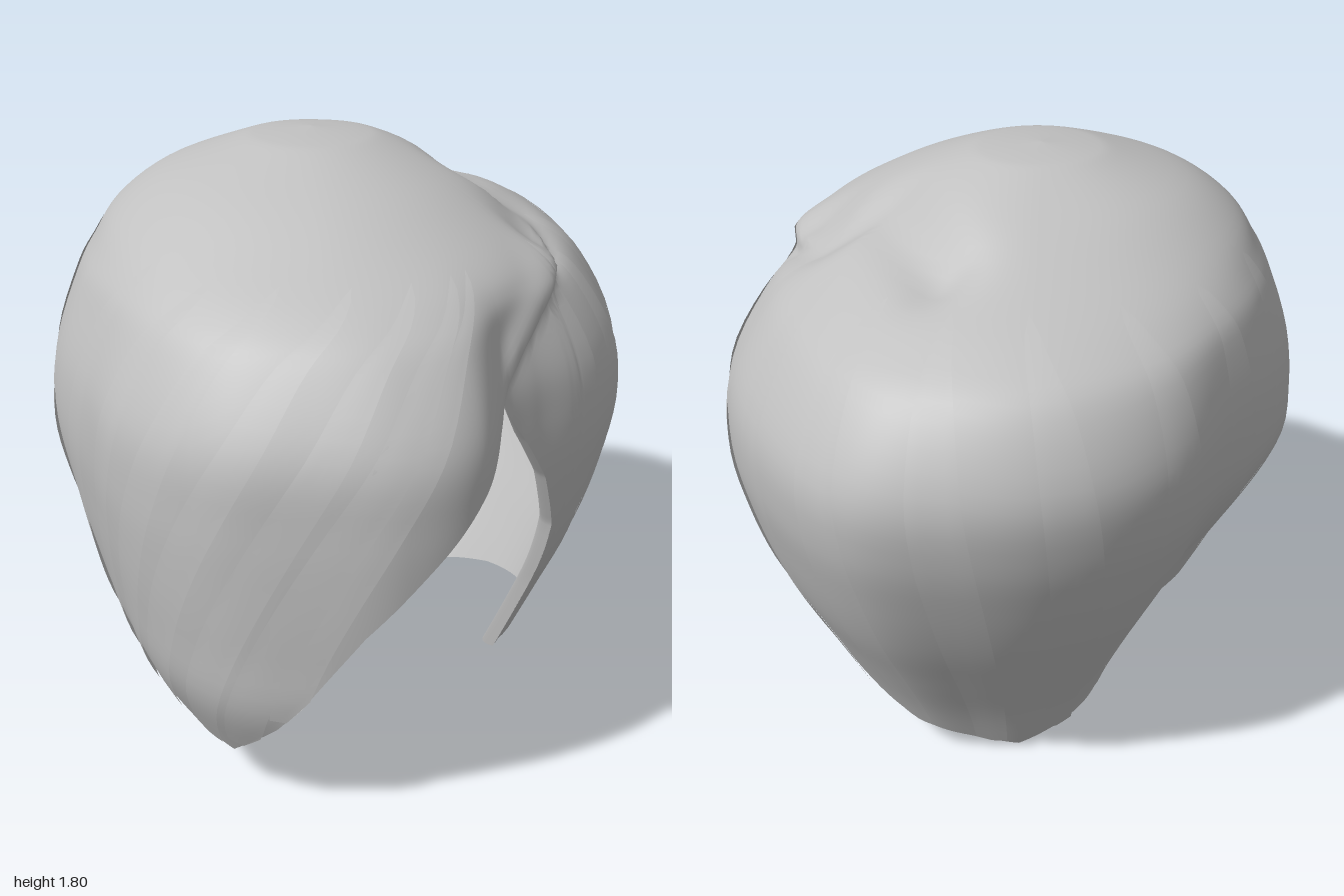
import * as THREE from 'three';

const RAD = Math.PI / 180;

// Smooth (Hermite) or straight interpolation through [x, y] knots
function sample(knots, x, smooth = true) {
  let i = 0;
  while (i < knots.length - 2 && x > knots[i + 1][0]) i++;
  const [x0, y0] = knots[i], [x1, y1] = knots[i + 1];
  const h = x1 - x0, t = Math.min(1, Math.max(0, (x - x0) / h));
  if (!smooth) return y0 + (y1 - y0) * t;
  const p = knots[Math.max(0, i - 1)], n = knots[Math.min(knots.length - 1, i + 2)];
  const m0 = (y1 - p[1]) / (x1 - p[0]) * h, m1 = (n[1] - y0) / (n[0] - x0) * h;
  const t2 = t * t, t3 = t2 * t;
  return (2 * t3 - 3 * t2 + 1) * y0 + (t3 - 2 * t2 + t) * m0 + (3 * t2 - 2 * t3) * y1 + (t3 - t2) * m1;
}
const indexed = (a) => a.map((v, i) => [i, v]);
const wrap = (a) => ((a % 360) + 360) % 360;
const step = (a, b, x) => THREE.MathUtils.smoothstep(x, a, b);

// Plan radius by angle (0 = front, 90 = the model's left)
const PLAN = [[-15, 0.99], [0, 0.99], [15, 1], [28, 0.95], [41, 0.77], [55, 0.74], [70, 0.79], [90, 0.85],
  [105, 0.88], [125, 0.93], [150, 1.03], [165, 1.01], [180, 0.99], [200, 0.93], [220, 0.83], [240, 0.83],
  [270, 0.865], [290, 0.87], [310, 0.87], [325, 0.93], [345, 0.99], [360, 0.99], [375, 1]];

// Height of the cut edge by angle, with the face opening from 342 to 70
const HEM = [[0, 0.48], [9, 0.7], [18.5, 0.88], [28, 1.05], [36, 1.17], [41, 1.22], [51, 1.05], [59, 0.9],
  [66, 0.7], [69, 0.45], [70.5, 0.19], [85, 0.24], [101, 0.26], [125, 0.2], [150, 0.11], [177, 0.01],
  [205, 0.15], [230, 0.26], [270, 0.3], [300, 0.3], [320, 0.28], [330, 0.22], [342, 0.16], [354, 0.35], [360, 0.48]];

// Vertical profiles: height, then radius factor on each of the four sides
const HEIGHT = indexed([0, 0.2, 0.4, 0.6, 0.8, 1, 1.2, 1.4, 1.5, 1.6, 1.7, 1.78, 1.8, 1.812]);
const FRONT = indexed([0.72, 0.84, 0.94, 0.97, 0.99, 1, 0.99, 0.88, 0.77, 0.59, 0.41, 0.23, 0.15, 0]);
const BACK = indexed([0.51, 0.6, 0.71, 0.82, 0.91, 0.98, 1, 0.91, 0.77, 0.55, 0.36, 0.19, 0.12, 0]);
const LEFT = indexed([0.56, 0.67, 0.78, 0.89, 0.96, 1, 0.975, 0.85, 0.74, 0.59, 0.43, 0.25, 0.17, 0]);
const RIGHT = indexed([0.5, 0.64, 0.77, 0.87, 0.95, 1, 0.98, 0.9, 0.84, 0.75, 0.56, 0.28, 0.16, 0]);
const TOP = 13;

// Parting ridge above the left panel, and the whorl grooves seen in plan (x, z)
const RIDGE = [[36, 1.16], [41, 1.25], [60, 1.41], [80, 1.51], [100, 1.57], [125, 1.58]];
const GROOVE = [[0.25, -0.46], [0.34, -0.26], [0.4, -0.1], [0.52, -0.1], [0.57, 0.08]];

function grooveDistance(x, z) {
  let best = 9;
  for (let i = 0; i < GROOVE.length - 1; i++) {
    const [ax, az] = GROOVE[i], dx = GROOVE[i + 1][0] - ax, dz = GROOVE[i + 1][1] - az;
    const t = Math.min(1, Math.max(0, ((x - ax) * dx + (z - az) * dz) / (dx * dx + dz * dz)));
    best = Math.min(best, Math.hypot(x - ax - dx * t, z - az - dz * t));
  }
  return best;
}

// Profile position (0..13) of a height
function levelAt(y) {
  let lo = 0, hi = TOP;
  for (let n = 0; n < 24; n++) {
    const mid = (lo + hi) / 2;
    if (sample(HEIGHT, mid) < y) lo = mid; else hi = mid;
  }
  return lo;
}
const hemLevel = (angle) => levelAt(sample(HEM, wrap(angle), false));

// Point on the hair at an angle and profile level, moved outward by offset
function hairPoint(angle, level, offset = 0) {
  const a = wrap(angle), s = Math.sin(a * RAD), c = Math.cos(a * RAD);
  let y = sample(HEIGHT, level);
  const f = sample(c > 0 ? FRONT : BACK, level) * c * c + sample(s > 0 ? LEFT : RIGHT, level) * s * s;
  // the outline rounds off towards the crown
  const plan = THREE.MathUtils.lerp(sample(PLAN, a), c * c + 0.87 * s * s, step(5.4, 9.2, level));
  let r = Math.max(0, f) * plan;
  // the nape is cut flatter on the right, the temple fuller
  const low = 1 - step(1, 5, level);
  r *= 1 - low * (0.26 * Math.exp(-(((a - 237) / 26) ** 2)) - 0.06 * Math.exp(-(((a - 303) / 18) ** 2)));
  // the left panel tucks in under the ridge
  const d = sample(RIDGE, a) - y;
  const side = step(36, 46, a) * (1 - step(85, 115, a));
  r += side * (0.02 * Math.exp(-((d + 0.04) ** 2) / 0.004) - 0.045 * step(-0.02, 0.06, d) * Math.exp(-Math.max(0, d) / 0.2));
  // pressed-in whorl
  const g = grooveDistance(r * s, r * c);
  y -= 0.045 * Math.exp(-g * g / 0.007) * step(1.3, 1.5, y);
  const up = step(6, 11, level), lean = step(8, 12, level);
  r += offset * (1 - up);
  return [r * s - 0.085 * lean, y + offset * up, r * c - 0.04 * lean];
}

// Grid surface from a point rule
function grid(cols, rows, closed, rule) {
  const pos = [], index = [], n = closed ? cols : cols + 1;
  for (let j = 0; j <= rows; j++)
    for (let i = 0; i < n; i++) pos.push(...rule(i / cols, j / rows));
  for (let j = 0; j < rows; j++)
    for (let i = 0; i < cols; i++) {
      const a = j * n + i, b = j * n + (i + 1) % n;
      index.push(a, b, b + n, a, b + n, a + n);
    }
  const g = new THREE.BufferGeometry();
  g.setAttribute('position', new THREE.Float32BufferAttribute(pos, 3));
  g.setIndex(index);
  g.computeVertexNormals();
  return g;
}

export function createModel() {
  const group = new THREE.Group();
  group.name = 'hair';
  const hair = new THREE.MeshStandardMaterial({ name: 'hairGrey', color: 0xc0c0c0, side: THREE.DoubleSide });
  const add = (name, geometry) => {
    const mesh = new THREE.Mesh(geometry, hair);
    mesh.name = name;
    group.add(mesh);
  };

  // Main shell from the cut edge up to the crown
  add('hairShell', grid(360, 60, true, (u, v) => {
    const k = hemLevel(u * 360);
    return hairPoint(u * 360, k + (TOP - k) * v);
  }));

  // Inner face of the fringe, facing inwards and ending on the right temple
  add('fringeLining', grid(90, 24, false, (u, v) => {
    const a = 41 - 94 * u;
    const low = Math.max(hemLevel(a), a < -25 ? levelAt(0.25 + (-25 - a) * 0.01) : 0);
    const level = low + (Math.max(7, low) - low) * v;
    return hairPoint(a, level, -0.025 * Math.min(1, Math.sqrt(v * 5)) * Math.min(1, 6 * (1 - u)) - 0.002);
  }));

  // Layered strands turned in along the front of the left panel
  for (const [shift, depth] of [[0, 0.045], [4, 0.03]])
    add('sidePanelLip', grid(60, 4, false, (u, v) => {
      const a = 41 + 29.5 * u;
      return hairPoint(a + shift * v, hemLevel(a) + 0.12 * v * v, -depth * Math.sin(v * Math.PI / 2) * Math.min(1, 3 * u));
    }));

  // Overlapping locks: [angle near the crown, angle at the cut edge, half width]
  const locks = [[38, -4, 3], [33, -14, 4], [22, -24, 4], [8, -35, 4], [-8, -44, 4], [-24, -54, 4], [-42, -66, 4],
    [-62, -80, 4], [-85, -95, 5], [-115, -112, 5], [-138, -130, 5], [-160, -150, 5], [178, 190, 5],
    [160, 168, 5], [142, 146, 5], [122, 124, 5], [104, 104, 5], [88, 88, 4], [70, 76, 3]];
  for (const [start, end, width] of locks)
    add('hairLock', grid(4, 30, false, (u, v) => {
      const low = hemLevel(end), level = low + (8.6 - low) * v;
      const taper = Math.sqrt(Math.max(0, 1 - v ** 3));
      const a = end + (start - end) * v ** 1.3 + (2 * u - 1) * width * taper;
      return hairPoint(a, Math.max(level, hemLevel(a)), 0.001 + 0.008 * u * taper);
    }));

  return group;
}
